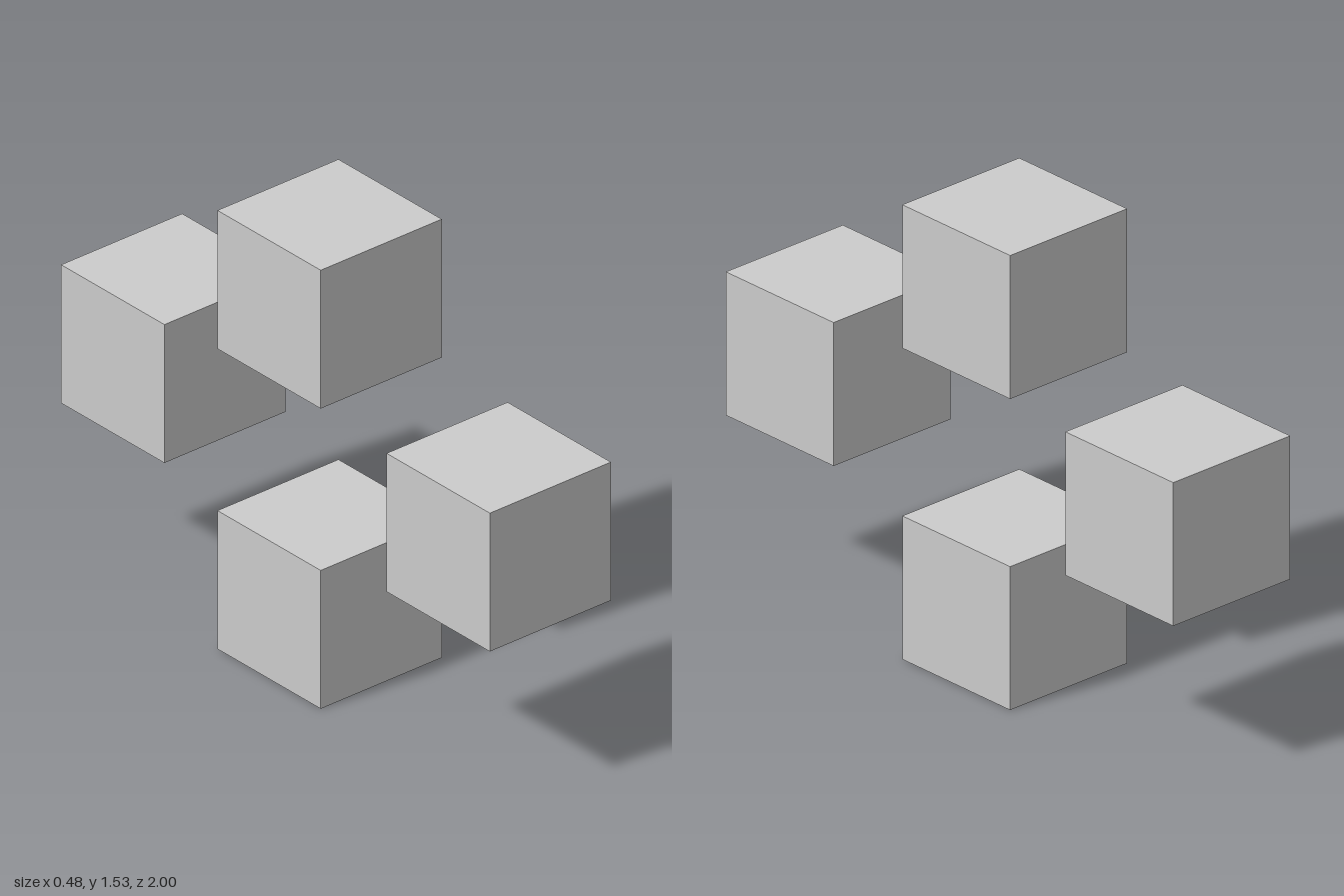
import * as THREE from 'three';

export function createModel() {
  const group = new THREE.Group();
  const size = 0.482;
  const geometry = new THREE.BoxGeometry(size, size, size);
  const material = new THREE.MeshStandardMaterial({ color: 0xcccccc, flatShading: true });

  // Four equal cubes in a diamond: name, centre y, centre z
  const cubes = [
    ['bottomCube', 0.241, -0.03],
    ['frontCube', 0.782, 0.759],
    ['backCube', 0.782, -0.759],
    ['topCube', 1.287, -0.03],
  ];
  for (const [name, y, z] of cubes) {
    const cube = new THREE.Mesh(geometry, material);
    cube.name = name;
    cube.position.set(0, y, z);
    group.add(cube);
  }
  return group;
}
